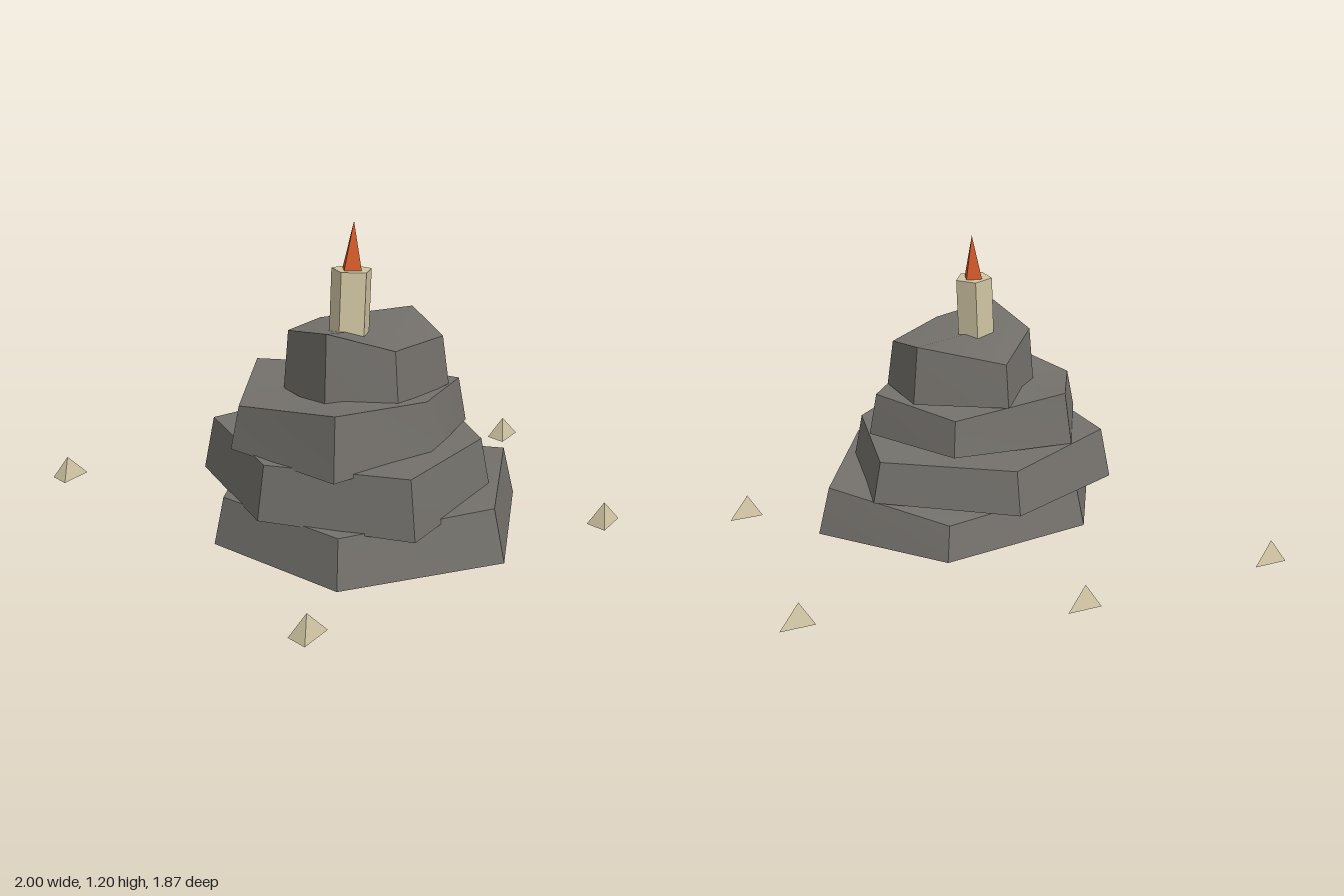
import * as THREE from 'three';
import { toCreasedNormals } from 'three/addons/utils/BufferGeometryUtils.js';

const stone = new THREE.MeshStandardMaterial({ color: 0x74716c });
stone.name = 'stone grey';
const bone = new THREE.MeshStandardMaterial({ color: 0xd0c4a2 });
bone.name = 'pale bone';
const flame = new THREE.MeshStandardMaterial({ color: 0xd2592a });
flame.name = 'ember orange';

const CX = -0.27, CZ = 0.3; // axis of the rock stack
const TAPER = 0.93;         // each slab narrows towards its top

// Slab corners run right, front, left, back as [x, z, top height]
const slabs = [
  { bottom: 0.03, middle: 0.21, corners: [
    [0.42, 0.48, 0.225], [-0.10, 0.92, 0.23], [-0.70, 0.70, 0.21],
    [-0.775, 0.10, 0.21], [-0.44, -0.20, 0.19], [0.21, -0.08, 0.17]] },
  { bottom: 0.205, middle: 0.40, corners: [
    [0.305, 0.26, 0.37], [0.06, 0.69, 0.40], [-0.49, 0.865, 0.42],
    [-0.775, 0.36, 0.405], [-0.60, -0.19, 0.41], [-0.04, -0.23, 0.38]] },
  { bottom: 0.40, middle: 0.59, corners: [
    [0.145, 0.475, 0.57], [-0.21, 0.655, 0.59], [-0.665, 0.645, 0.63],
    [-0.72, 0.14, 0.56], [-0.39, -0.165, 0.61], [0.067, 0.04, 0.545]] },
  { bottom: 0.58, middle: 0.79, corners: [
    [0.10, 0.245, 0.815], [0.015, 0.51, 0.765], [-0.32, 0.595, 0.785],
    [-0.53, 0.44, 0.855], [-0.475, 0.145, 0.80], [-0.15, -0.045, 0.755]] },
];

// Irregular slab: flat base, tapered sides, uneven fan on top
function slabGeometry({ bottom, middle, corners }) {
  const positions = [];
  const low = corners.map(([x, z]) => [x, bottom, z]);
  const high = corners.map(([x, z, y]) => [CX + (x - CX) * TAPER, y, CZ + (z - CZ) * TAPER]);
  const tri = (...points) => points.forEach((p) => positions.push(...p));
  corners.forEach((_, i) => {
    const j = (i + 1) % corners.length;
    tri(low[i], high[i], high[j]);
    tri(low[i], high[j], low[j]);
    tri([CX, middle, CZ], high[j], high[i]);
    tri([CX, bottom, CZ], low[i], low[j]);
  });
  const geometry = new THREE.BufferGeometry();
  geometry.setAttribute('position', new THREE.Float32BufferAttribute(positions, 3));
  return toCreasedNormals(geometry, 0.6);
}

function addMesh(parent, name, geometry, material, x = 0, y = 0, z = 0) {
  const mesh = new THREE.Mesh(geometry, material);
  mesh.name = name;
  mesh.position.set(x, y, z);
  parent.add(mesh);
  return mesh;
}

export function createModel() {
  const model = new THREE.Group();
  model.name = 'rockStackWithBeacon';

  // Rock layers
  slabs.forEach((slab, i) => addMesh(model, `rockLayer${i + 1}`, slabGeometry(slab), stone));

  // Slightly leaning beacon: five-sided post and four-sided flame
  const beacon = new THREE.Group();
  beacon.name = 'beacon';
  beacon.position.set(-0.289, 0.78, 0.3);
  beacon.rotation.z = -0.05;
  const post = new THREE.CylinderGeometry(0.077, 0.077, 0.245, 5);
  addMesh(beacon, 'post', toCreasedNormals(post, 0.5), bone, 0, 0.1225, 0);
  const fire = new THREE.ConeGeometry(0.045, 0.177, 4, 1, false, 0.15);
  addMesh(beacon, 'flame', toCreasedNormals(fire, 0.5), flame, 0, 0.3335, 0);
  model.add(beacon);

  // Small three-sided spikes scattered around the rock
  const spike = new THREE.ConeGeometry(0.09, 0.09, 3, 1, false, Math.PI / 2);
  spike.scale(1, 1, 0.56);
  const spikeGeometry = toCreasedNormals(spike, 0.3);
  const spots = [[-0.955, 0.845], [-0.79, -0.893], [0.032, -0.655], [0.908, -0.037], [0.492, 0.885]];
  spots.forEach(([x, z], i) => addMesh(model, `spike${i + 1}`, spikeGeometry, bone, x, 0.045, z));

  return model;
}
